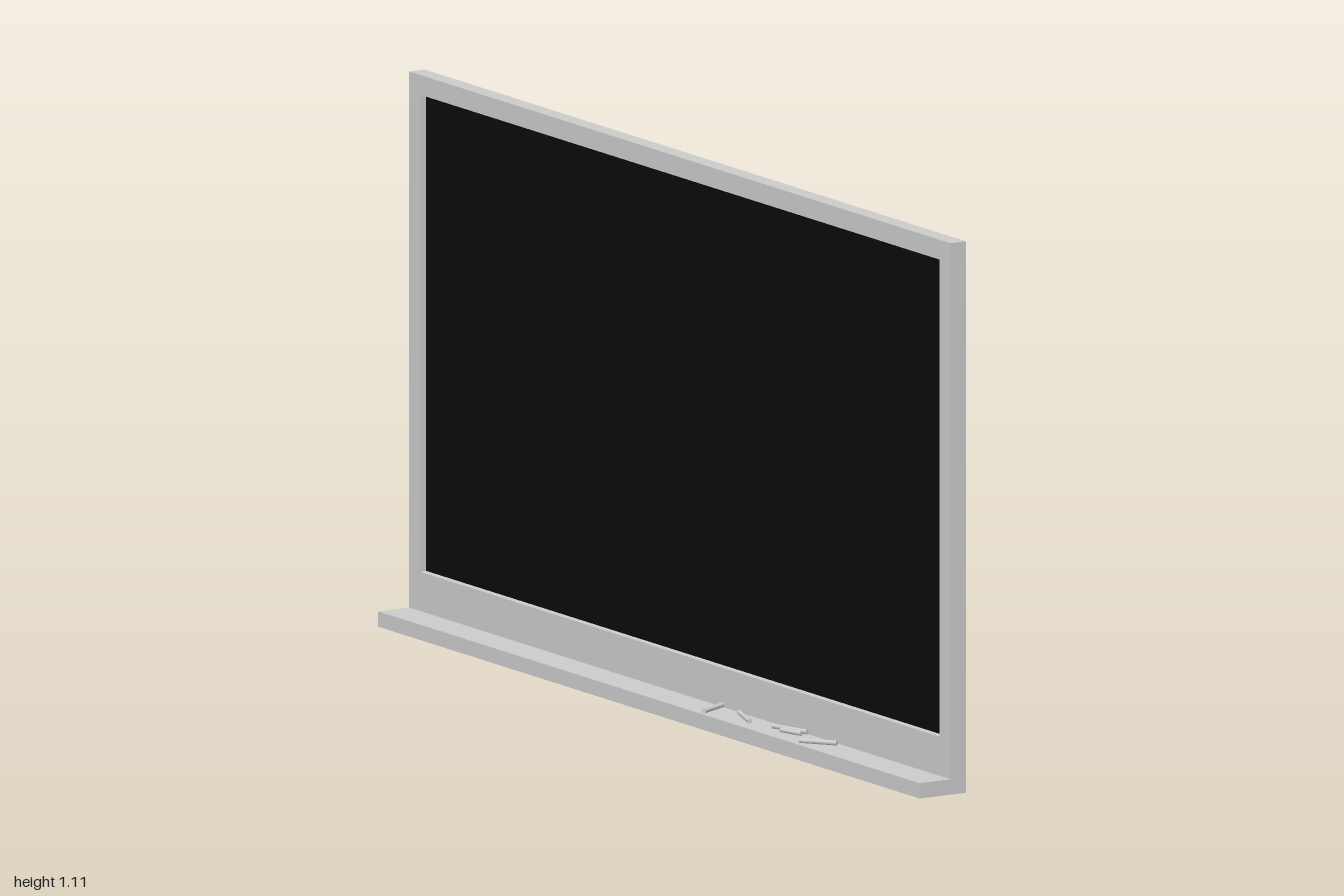
import * as THREE from 'three';

const HEIGHT = 1.112, LENGTH = 2;
const BACK = 0.054, RECESS = 0.034, FACE = 0.018, TRAY_EDGE = -0.054, TRAY_TOP = 0.031;
const SIDE = 0.04, TOP = 0.04, BOTTOM = 0.11;   // border widths of the frame

export function createModel() {
  const model = new THREE.Group();
  const grey = new THREE.MeshStandardMaterial({ color: 0xcccccc });
  const black = new THREE.MeshStandardMaterial({ color: 0x0a0a0a });

  const add = (name, geometry, material, x = 0, y = 0, z = 0) => {
    const mesh = new THREE.Mesh(geometry, material);
    mesh.name = name;
    mesh.position.set(x, y, z);
    model.add(mesh);
    return mesh;
  };
  // Box spanning x0..x1 and y0..y1, centred on z
  const slab = (name, x0, x1, y0, y1, length, material) =>
    add(name, new THREE.BoxGeometry(x1 - x0, y1 - y0, length), material, (x0 + x1) / 2, (y0 + y1) / 2);

  // Backing and chalk tray
  slab('backing', RECESS, BACK, 0, HEIGHT, LENGTH, grey);
  slab('chalkTray', TRAY_EDGE, FACE, 0, TRAY_TOP, LENGTH, grey);

  // Raised frame with a rectangular opening, facing -x
  const rect = (Type, x, y0, y1) => new Type([[-x, y0], [x, y0], [x, y1], [-x, y1]]
    .map(([a, b]) => new THREE.Vector2(a, b)));
  const inner = LENGTH / 2 - SIDE;
  const outline = rect(THREE.Shape, LENGTH / 2, 0, HEIGHT);
  outline.holes.push(rect(THREE.Path, inner, BOTTOM, HEIGHT - TOP));
  const frame = new THREE.ExtrudeGeometry(outline, { depth: RECESS - FACE, bevelEnabled: false });
  frame.rotateY(-Math.PI / 2);
  add('frame', frame, grey, RECESS);

  // Black writing surface at the bottom of the recess
  slab('writingSurface', RECESS - 0.001, RECESS + 0.001, BOTTOM, HEIGHT - TOP, inner * 2, black);

  // Chalk sticks lying on the tray: centre x, centre z, direction x, direction z, length
  const radius = 0.005;
  const sticks = [
    [-0.015, 0.176, 11, -5.5, 0.07],
    [-0.01, 0.284, 5.5, -16, 0.09],
    [0.002, 0.433, 5, 17, 0.09],
    [-0.01, 0.457, 2.5, 9.5, 0.055],
    [-0.018, 0.569, 9, 11.5, 0.078],
  ];
  sticks.forEach(([x, z, dx, dz, length], i) => {
    const geometry = new THREE.CylinderGeometry(radius, radius, length, 12).rotateX(Math.PI / 2);
    add(`chalk${i + 1}`, geometry, grey, x, TRAY_TOP + radius, z).rotation.y = Math.atan2(dx, dz);
  });

  return model;
}
